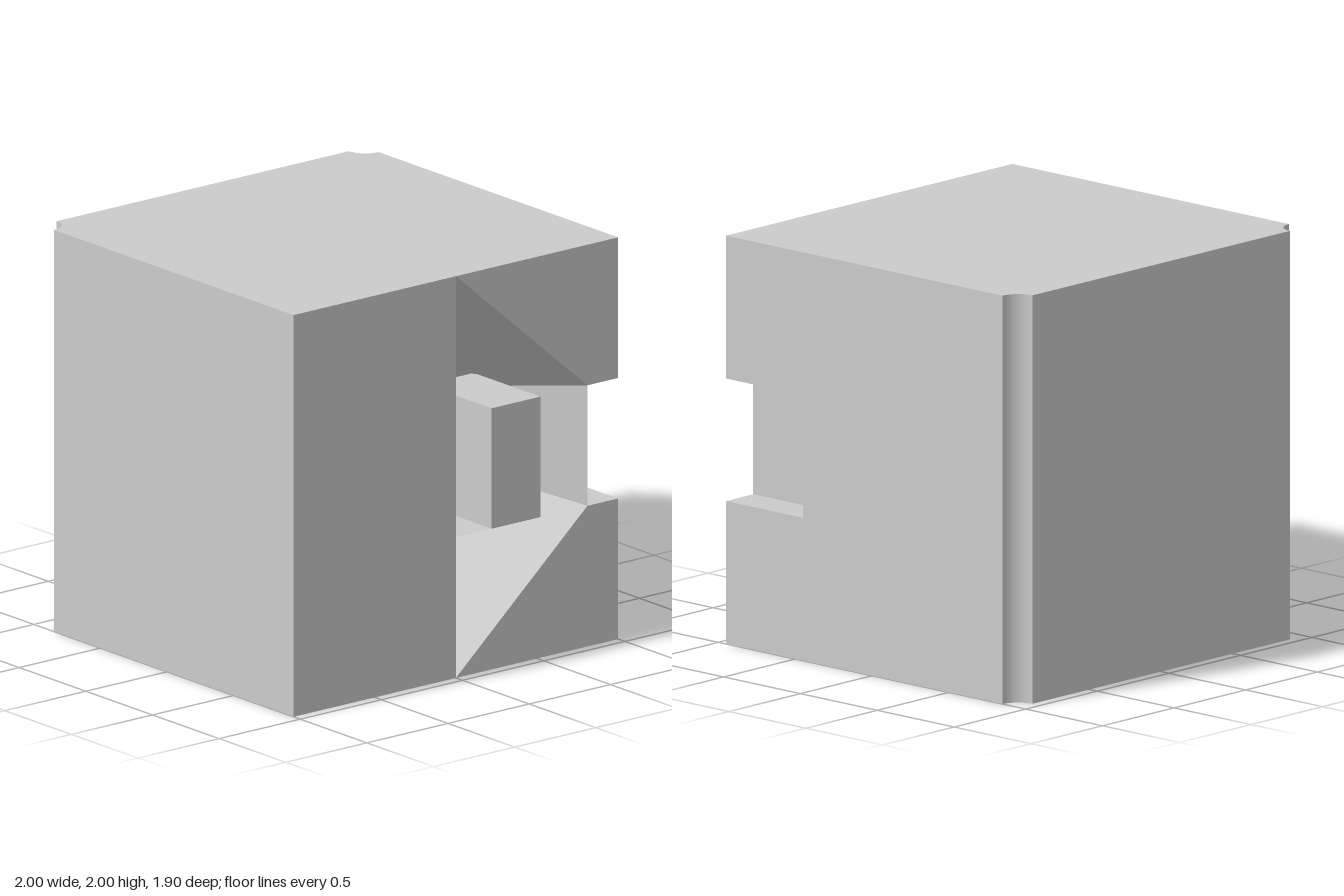
import * as THREE from 'three';

const material = new THREE.MeshStandardMaterial({ color: 0xcccccc, side: THREE.DoubleSide });

// Flat polygon panels, corners counter-clockwise seen from outside, convex
function panels(name, polygons) {
  const pos = [];
  for (const p of polygons) {
    for (let i = 1; i < p.length - 1; i++) pos.push(...p[0], ...p[i], ...p[i + 1]);
  }
  const geo = new THREE.BufferGeometry();
  geo.setAttribute('position', new THREE.Float32BufferAttribute(pos, 3));
  geo.computeVertexNormals();
  return part(name, geo);
}

function part(name, geo) {
  const mesh = new THREE.Mesh(geo, material);
  mesh.name = name;
  return mesh;
}

export function createModel() {
  const group = new THREE.Group();
  const F = 0.95, B = -0.95, R = 0.1; // front, back, groove radius
  const X = 0.81, LO = 0.7, HI = 1.3, N = 0.45; // notch limits

  // Top and bottom with the quarter-round bites at the back corners
  const outline = new THREE.Shape();
  outline.moveTo(-1, -F);
  outline.lineTo(1, -F);
  outline.lineTo(1, F - R);
  outline.absarc(1, F, R, -Math.PI / 2, -Math.PI, true);
  outline.lineTo(-1 + R, F);
  outline.absarc(-1, F, R, 0, -Math.PI / 2, true);
  outline.closePath();
  const top = part('topPanel', new THREE.ShapeGeometry(outline, 16).rotateX(-Math.PI / 2).translate(0, 2, 0));
  const bottom = part('bottomPanel', new THREE.ShapeGeometry(outline, 16).rotateX(Math.PI / 2).scale(1, 1, -1));
  // the mirror flips the winding, so turn the faces back to point down
  const idx = bottom.geometry.index.array;
  for (let i = 0; i < idx.length; i += 3) [idx[i], idx[i + 1]] = [idx[i + 1], idx[i]];
  bottom.geometry.scale(1, 1, 1).computeVertexNormals();
  // keep the bites at the back
  bottom.geometry.computeBoundingBox();
  group.add(top, bottom);

  // Vertical grooves along the back corners
  for (const s of [-1, 1]) {
    const groove = part(s > 0 ? 'leftGroove' : 'rightGroove',
      new THREE.CylinderGeometry(R, R, 2, 16, 1, true, s > 0 ? 1.5 * Math.PI : 0, Math.PI / 2));
    groove.position.set(s, 1, B);
    group.add(groove);
  }

  // Outer walls, leaving the front opening and the side notch free
  group.add(panels('outerWalls', [
    [[0.9, 0, B], [-0.9, 0, B], [-0.9, 2, B], [0.9, 2, B]],
    [[-1, 0, B + R], [-1, 0, F], [-1, 2, F], [-1, 2, B + R]],
    [[-1, 0, F], [0, 0, F], [0, 2, F], [-1, 2, F]],
    [[0, 2, F], [X, HI, F], [1, HI, F], [1, 2, F]],
    [[0, 0, F], [1, 0, F], [1, LO, F], [X, LO, F]],
    [[1, 0, N], [1, 0, B + R], [1, 2, B + R], [1, 2, N]],
    [[1, 0, F], [1, 0, N], [1, LO, N], [1, LO, F]],
    [[1, HI, F], [1, HI, N], [1, 2, N], [1, 2, F]],
  ]));

  // Tapered cavity running back to a point
  const A = [0, 0, F], D = [0, 2, F], P = [0, 1, -0.94];
  const C1 = [X, LO, F], C2 = [X, HI, F];
  group.add(panels('cavity', [[A, P, D], [A, C1, P], [D, P, C2], [C1, C2, P]]));

  // Rectangular notch in the side
  group.add(panels('sideNotch', [
    [[X, LO, F], [X, LO, N], [X, HI, N], [X, HI, F]],
    [[X, LO, N], [1, LO, N], [1, HI, N], [X, HI, N]],
    [[X, LO, F], [1, LO, F], [1, LO, N], [X, LO, N]],
    [[X, HI, N], [1, HI, N], [1, HI, F], [X, HI, F]],
  ]));

  // Block standing in the cavity, with a thin shelf joining it to the wall
  const block = part('latchBlock', new THREE.BoxGeometry(0.3, HI - LO, F - N));
  block.position.set(0.37, 1, (F + N) / 2);
  group.add(block);
  group.add(panels('shelf', [[[0, LO, F], [0.22, LO, F], [0.22, LO, N], [0, LO, N]]]));

  return group;
}
